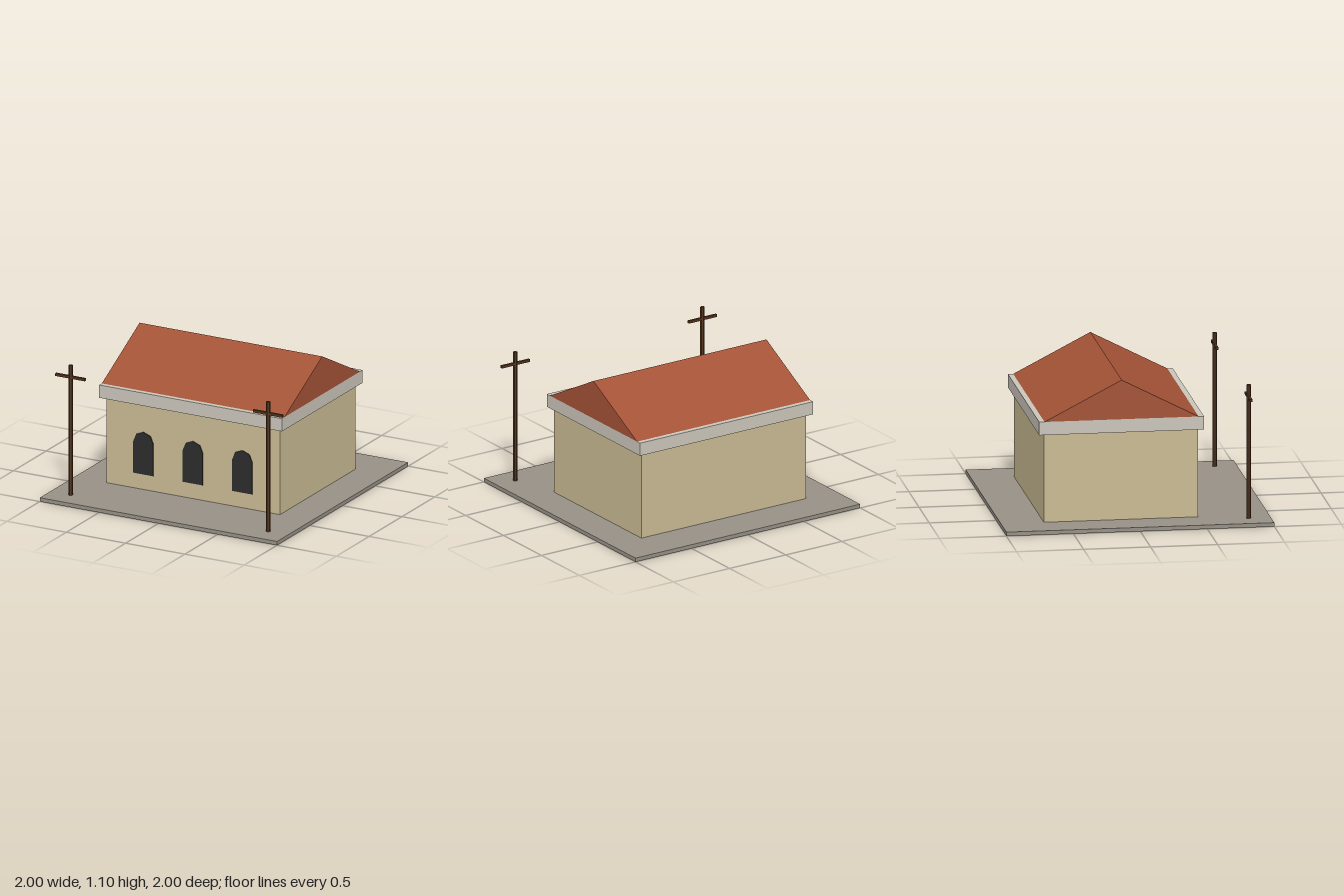
import * as THREE from 'three';

const mat = (name, color) => {
  const m = new THREE.MeshStandardMaterial({ color });
  m.name = name;
  return m;
};

export function createModel() {
  const model = new THREE.Group();
  model.name = 'building';
  const stone = mat('paving grey', 0x969085);
  const plaster = mat('plaster tan', 0xc9ba93);
  const trim = mat('trim pale grey', 0xcac5ba);
  const tile = mat('roof terracotta', 0xa35235);
  const glass = mat('window dark', 0x2c2c2c);
  const wood = mat('wood brown', 0x52341c);

  const add = (name, geometry, material, x, y, z, parent = model) => {
    const mesh = new THREE.Mesh(geometry, material);
    mesh.name = name;
    mesh.position.set(x, y, z);
    parent.add(mesh);
    return mesh;
  };
  const box = (w, h, d) => new THREE.BoxGeometry(w, h, d);
  const midZ = -0.105; // building sits back from the front edge

  add('groundSlab', box(2, 0.03, 2), stone, 0, 0.015, 0);
  add('walls', box(1.464, 0.67, 1.15), plaster, 0, 0.365, midZ);
  add('cornice', box(1.54, 0.1, 1.23), trim, 0, 0.75, midZ);

  // Gable roof: triangle extruded along x
  const gable = new THREE.Shape([
    new THREE.Vector2(-0.575, 0),
    new THREE.Vector2(0.575, 0),
    new THREE.Vector2(0, 0.297),
  ]);
  const roof = new THREE.ExtrudeGeometry(gable, { depth: 1.54, bevelEnabled: false });
  roof.translate(0, 0, -0.77).rotateY(Math.PI / 2);
  add('roof', roof, tile, 0, 0.8, midZ);

  // Arched windows, faceted arch of four segments
  const r = 0.084;
  const arch = [new THREE.Vector2(-r, 0), new THREE.Vector2(r, 0)];
  for (let i = 0; i <= 4; i++) {
    const a = (i * Math.PI) / 4;
    arch.push(new THREE.Vector2(Math.cos(a) * r, 0.248 + Math.sin(a) * 0.082));
  }
  const pane = new THREE.ExtrudeGeometry(new THREE.Shape(arch), { depth: 0.009, bevelEnabled: false });
  for (const x of [-0.417, 0, 0.417]) add('archedWindow', pane, glass, x, 0.15, 0.469);

  // Utility poles at the front corners
  for (const side of [-1, 1]) {
    const pole = new THREE.Group();
    pole.name = side > 0 ? 'leftPole' : 'rightPole';
    pole.position.set(side * 0.833, 0, 0.833);
    const post = new THREE.CylinderGeometry(0.017, 0.017, 1.025, 6).toNonIndexed();
    post.computeVertexNormals();
    add('post', post, wood, 0, 0.5325, 0, pole);
    add('crossbar', box(0.248, 0.02, 0.02), wood, 0, 0.952, 0, pole);
    model.add(pole);
  }
  return model;
}
